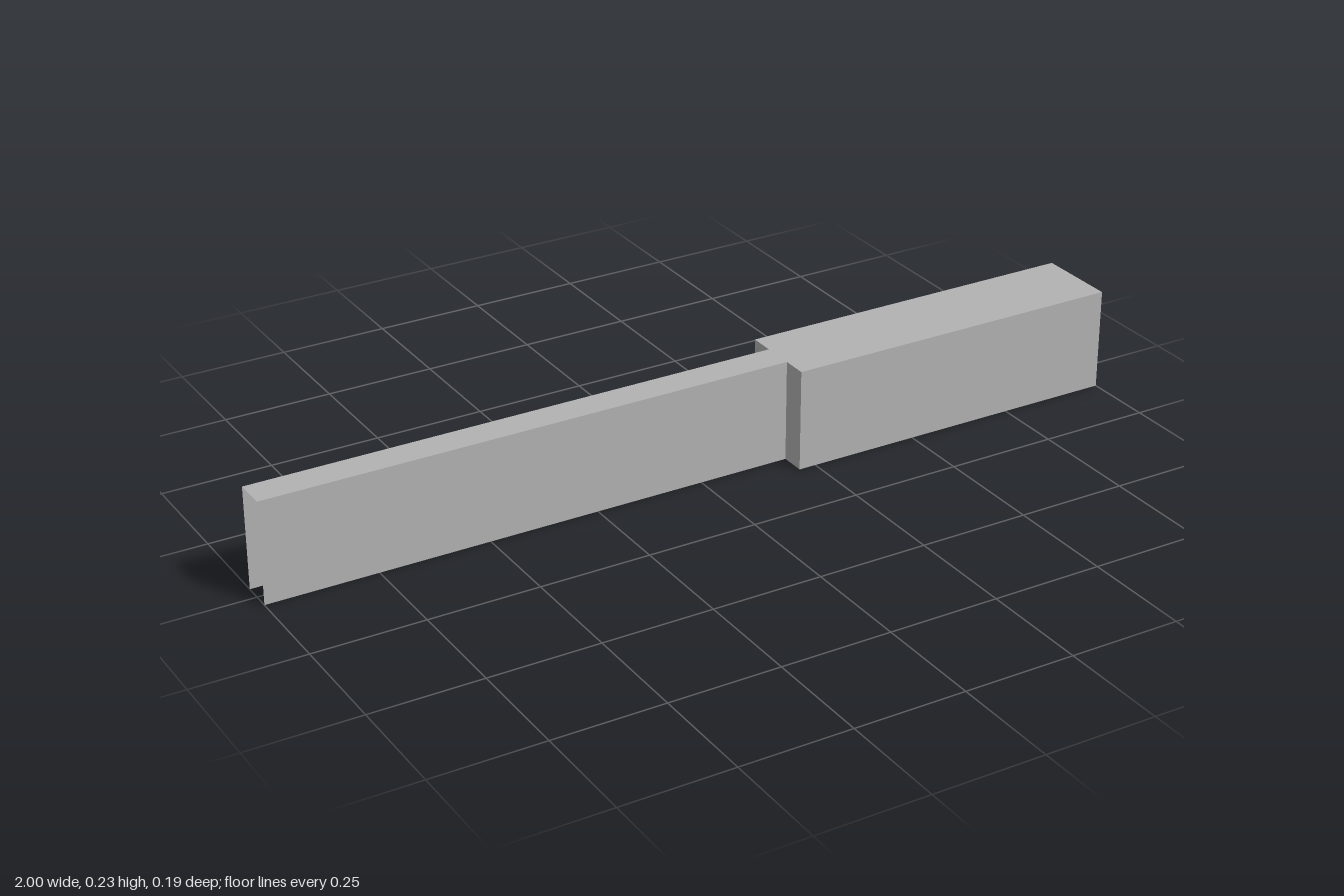
import * as THREE from 'three';

const H = 0.231;           // height
const STEP = 0.21;         // x where the narrow channel meets the wide one
const WIDE = 0.0925;       // half depth of the wide channel
const NARROW = 0.036;      // half depth of the narrow channel

export function createModel() {
  const group = new THREE.Group();
  group.name = 'steppedChannel';
  const grey = new THREE.MeshStandardMaterial({ color: 0xb2b2b2, side: THREE.DoubleSide });
  grey.name = 'plainGrey';

  // Upright sheet between two plan points (x, z), facing outwards
  const wall = (name, [ax, az], [bx, bz]) => {
    const mesh = new THREE.Mesh(new THREE.PlaneGeometry(Math.hypot(bx - ax, bz - az), H), grey);
    mesh.rotation.y = Math.atan2(az - bz, bx - ax);
    mesh.position.set((ax + bx) / 2, H / 2, (az + bz) / 2);
    mesh.name = name;
    group.add(mesh);
  };

  // Flat sheet closing the top between two x positions
  const lid = (name, x0, x1, halfDepth) => {
    const mesh = new THREE.Mesh(new THREE.PlaneGeometry(x1 - x0, halfDepth * 2), grey);
    mesh.rotation.x = -Math.PI / 2;
    mesh.position.set((x0 + x1) / 2, H, 0);
    mesh.name = name;
    group.add(mesh);
  };

  // Plan outline, left open at the narrow end; the underside is open too
  const outline = [
    [-1, NARROW], [STEP, NARROW], [STEP, WIDE], [1, WIDE],
    [1, -WIDE], [STEP, -WIDE], [STEP, -NARROW], [-1, -NARROW],
  ];
  const names = ['narrowFrontWall', 'frontStep', 'wideFrontWall', 'endWall',
    'wideBackWall', 'backStep', 'narrowBackWall'];
  names.forEach((name, i) => wall(name, outline[i], outline[i + 1]));

  lid('narrowTop', -1, STEP, NARROW);
  lid('wideTop', STEP, 1, WIDE);
  return group;
}
